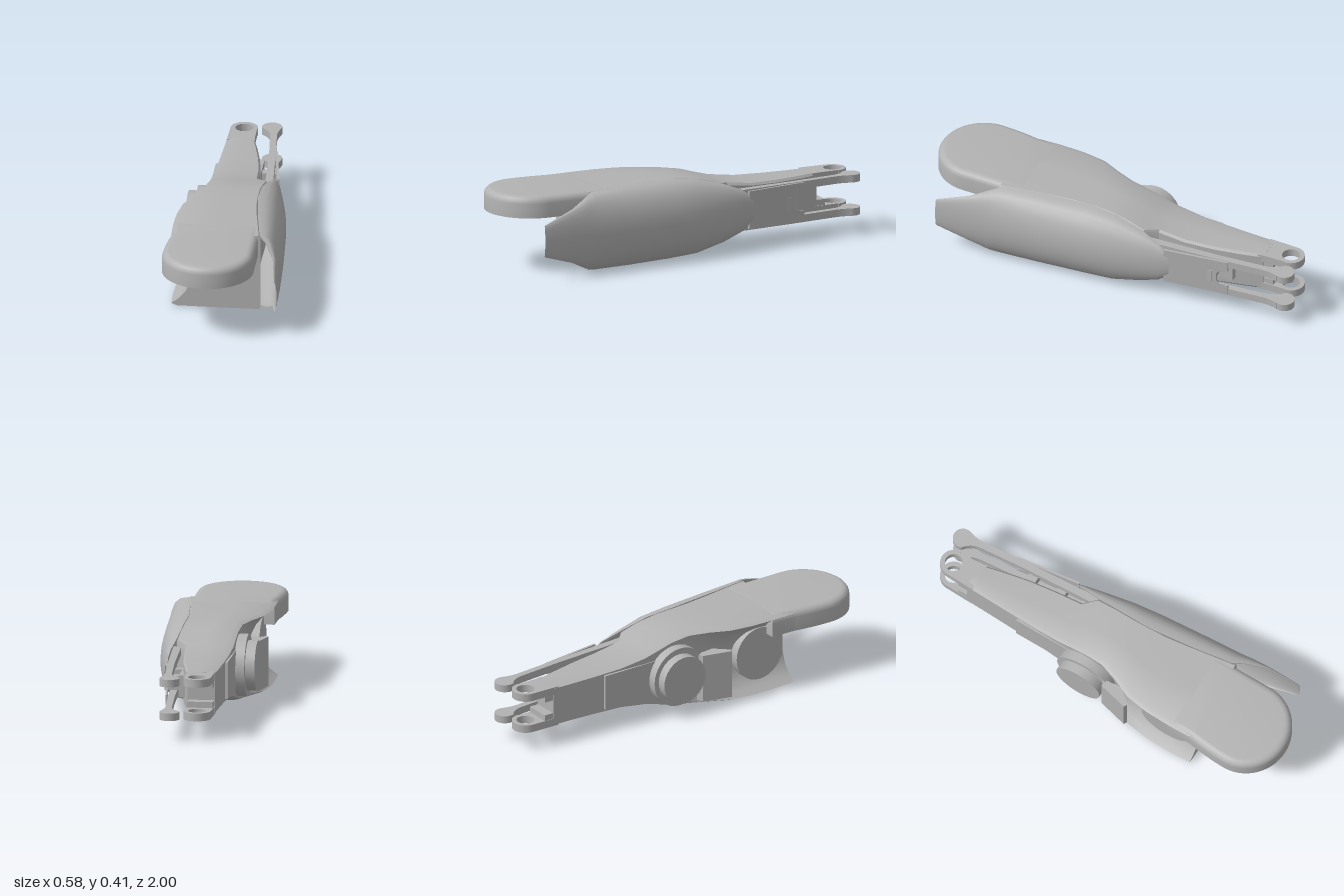
import * as THREE from 'three';
import { toCreasedNormals } from 'three/addons/utils/BufferGeometryUtils.js';

const grey = new THREE.MeshStandardMaterial({ color: 0xb2b2b2 });
grey.name = 'plain grey';

export function createModel() {
  const model = new THREE.Group();
  const add = (name, geometry, crease = 0.55) => {
    const mesh = new THREE.Mesh(toCreasedNormals(geometry, crease), grey);
    mesh.name = name;
    model.add(mesh);
    return mesh;
  };

  // Skin closed rings of [x, y, z] (clockwise seen from +z, z increasing)
  const loft = (rings, capCentres) => {
    const n = rings[0].length, pos = rings.flat(2), idx = [];
    for (let i = 0; i < rings.length - 1; i++)
      for (let j = 0; j < n; j++) {
        const a = i * n + j, b = i * n + (j + 1) % n;
        idx.push(a, a + n, b, b, a + n, b + n);
      }
    if (capCentres) {
      const c = pos.length / 3, last = (rings.length - 1) * n;
      pos.push(...capCentres[0], ...capCentres[1]);
      for (let j = 0; j < n; j++) {
        const k = (j + 1) % n;
        idx.push(c, j, k, c + 1, last + k, last + j);
      }
    }
    const g = new THREE.BufferGeometry();
    g.setAttribute('position', new THREE.Float32BufferAttribute(pos, 3));
    g.setIndex(idx);
    return g;
  };

  // Horizontal plate from a shape drawn in (x, -z)
  const plate = (shape, y0, y1) => {
    const g = new THREE.ExtrudeGeometry(shape, { depth: y1 - y0, bevelEnabled: false, curveSegments: 16 });
    return g.rotateX(-Math.PI / 2).translate(0, y0, 0);
  };
  const box = (name, x0, x1, y0, y1, z0, z1) => add(name,
    new THREE.BoxGeometry(x1 - x0, y1 - y0, z1 - z0).translate((x0 + x1) / 2, (y0 + y1) / 2, (z0 + z1) / 2));

  // Main body: z, left lip, left hollow, right, bottom, top
  const bodyStations = [
    [-0.80, -0.142, -0.142, -0.005, 0.1, 0.31],
    [-0.70, -0.145, -0.145, 0.02, 0.1, 0.31],
    [-0.55, -0.15, -0.15, 0.05, 0.098, 0.312],
    [-0.40, -0.155, -0.155, 0.068, 0.093, 0.317],
    [-0.26, -0.16, -0.16, 0.075, 0.072, 0.336],
    [-0.20, -0.16, -0.16, 0.13, 0.055, 0.352],
    [-0.10, -0.162, -0.162, 0.125, 0.025, 0.382],
    [0.00, -0.17, -0.165, 0.12, 0.008, 0.398],
    [0.10, -0.205, -0.165, 0.12, 0.004, 0.402],
    [0.20, -0.25, -0.165, 0.125, 0.002, 0.403],
    [0.32, -0.268, -0.165, 0.14, 0.001, 0.403],
    [0.45, -0.272, -0.168, 0.16, 0.003, 0.403],
    [0.57, -0.268, -0.17, 0.178, 0.006, 0.402],
  ];
  const bodyRing = ([z, lip, hollow, right, bottom, top]) => {
    const mid = (bottom + top) / 2, half = (top - bottom) / 2;
    const left = [-0.94, -0.8, -0.6, -0.3, 0, 0.3, 0.6, 0.8, 0.94].map(t =>
      [hollow + (lip - hollow) * Math.abs(t / 0.94) ** 3, mid + half * t, z]);
    return [...left,
      [lip + 0.025, top, z], [(lip + right) / 2, top + 0.002, z], [right - 0.01, top, z],
      [right, top - 0.012, z], [right, mid, z], [right, bottom + 0.012, z],
      [right - 0.01, bottom, z], [(lip + right) / 2, bottom - 0.001, z], [lip + 0.025, bottom, z]];
  };
  add('main body', loft(bodyStations.map(bodyRing), [[-0.07, 0.205, -0.8], [0, 0.205, 0.57]]));

  // Rounded paddle reaching forward from the top, flat underneath
  const paddleShape = new THREE.Shape();
  paddleShape.moveTo(0.165, -0.44);
  paddleShape.lineTo(-0.268, -0.44);
  paddleShape.lineTo(-0.27, -0.57);
  paddleShape.quadraticCurveTo(-0.288, -0.68, -0.29, -0.78);
  paddleShape.absellipse(-0.0625, -0.78, 0.2275, 0.22, Math.PI, 2 * Math.PI, false);
  paddleShape.lineTo(0.165, -0.44);
  const paddle = new THREE.ExtrudeGeometry(paddleShape, {
    depth: 0.105, bevelThickness: 0.035, bevelSize: 0.035, bevelOffset: -0.035, bevelSegments: 4, curveSegments: 20,
  }).rotateX(-Math.PI / 2).translate(0, 0.265, 0);
  const pp = paddle.attributes.position;
  for (let i = 0; i < pp.count; i++) pp.setY(i, Math.max(pp.getY(i), 0.297));
  add('front paddle', paddle);

  // Curved side shell: z, seam, outermost, bottom, top, thickness
  const shellStations = [
    [-0.36, 0.158, 0.17, 0.15, 0.27, 0],
    [-0.355, 0.157, 0.172, 0.145, 0.275, 0.008],
    [-0.30, 0.148, 0.186, 0.1, 0.314, 0.01],
    [-0.20, 0.13, 0.208, 0.055, 0.352, 0.012],
    [-0.05, 0.118, 0.235, 0.014, 0.392, 0.012],
    [0.10, 0.113, 0.252, 0.004, 0.404, 0.012],
    [0.35, 0.14, 0.27, 0.003, 0.405, 0.012],
    [0.55, 0.17, 0.281, 0.008, 0.402, 0.012],
    [0.60, 0.205, 0.283, 0.025, 0.388, 0.01],
    [0.70, 0.252, 0.286, 0.075, 0.348, 0.01],
    [0.86, 0.277, 0.29, 0.125, 0.292, 0.006],
    [0.87, 0.28, 0.29, 0.13, 0.288, 0],
  ];
  const shellRing = ([z, seam, out, bottom, top, thick]) => {
    const mid = (bottom + top) / 2, half = (top - bottom) / 2, steps = 14;
    const arc = inset => Array.from({ length: steps + 1 }, (_, i) => {
      const a = Math.PI * (0.5 - i / steps);
      return [seam + (out - seam - inset) * Math.max(Math.cos(a), 0) ** 0.9, mid + (half - inset) * Math.sin(a), z];
    });
    return [...arc(0), ...arc(thick).reverse()];
  };
  add('side shell', loft(shellStations.map(shellRing)));

  // Rear hinge prongs with eyes, and the rods beside them
  const prong = new THREE.Shape();
  prong.moveTo(0.0, 0.77);
  prong.lineTo(-0.005, 0.82);
  prong.lineTo(-0.005, 0.92);
  prong.absarc(-0.07, 0.92, 0.068, 0, Math.PI, false);
  prong.lineTo(-0.142, 0.77);
  prong.holes.push(new THREE.Path().absarc(-0.07, 0.92, 0.045, 0, 2 * Math.PI, true));
  const rod = new THREE.Shape();
  rod.moveTo(0.15, 0.19);
  rod.lineTo(0.122, 0.6);
  rod.lineTo(0.1, 0.85);
  rod.quadraticCurveTo(0.1, 0.9, 0.112, 0.93);
  rod.absarc(0.065, 0.95, 0.05, -0.4, Math.PI + 0.4, false);
  rod.quadraticCurveTo(0.06, 0.9, 0.066, 0.85);
  rod.lineTo(0.088, 0.6);
  rod.lineTo(0.11, 0.19);
  for (const [side, y] of [['lower', 0.1], ['upper', 0.27]]) {
    add(side + ' hinge prong', plate(prong, y, y + 0.04));
    add(side + ' rod', plate(rod, y, y + 0.038));
    const stepY = side === 'lower' ? 0.135 : 0.24;
    box(side + ' hinge step', -0.138, -0.01, stepY, stepY + 0.035, -0.85, -0.79);
  }

  // Notched guard plate outside the rods, with its cross bars
  const guard = new THREE.Shape([[0, 0.112], [0.335, 0.112], [0.335, 0.305], [0, 0.305],
    [0, 0.25], [0.05, 0.24], [0.06, 0.225], [0.06, 0.185], [0.05, 0.17], [0, 0.16]]
    .map(p => new THREE.Vector2(...p)));
  const guardMesh = add('guard plate', new THREE.ExtrudeGeometry(guard, { depth: 0.012, bevelEnabled: false }));
  guardMesh.rotation.y = -Math.atan2(0.33, 0.045);
  guardMesh.position.set(0.125, 0, -0.665);
  for (const z of [-0.56, -0.4]) box('cross bar', 0.03, 0.14, 0.17, 0.24, z - 0.025, z + 0.025);
  box('rear bracket', 0.015, 0.06, 0.15, 0.26, -0.66, -0.5);

  // Round hubs on the left side
  const hub = (name, x0, x1, y, z, r) => add(name,
    new THREE.CylinderGeometry(r, r, x1 - x0, 32).rotateZ(Math.PI / 2).translate((x0 + x1) / 2, y, z));
  hub('rear hub flange', -0.21, -0.14, 0.2, -0.08, 0.155);
  hub('rear hub', -0.258, -0.2, 0.2, -0.085, 0.125);
  hub('front hub', -0.215, -0.15, 0.2, 0.4, 0.14);

  // Slanted fairing between the hubs
  const fairing = new THREE.Shape([[-0.2, -0.03], [-0.235, -0.04], [-0.272, -0.19], [-0.255, -0.2], [-0.19, -0.13]]
    .map(p => new THREE.Vector2(...p)));
  add('hub fairing', plate(fairing, 0.04, 0.29));

  // Raised panel along the rear left wall
  box('rear wall panel', -0.165, -0.14, 0.115, 0.3, -0.5, -0.19);

  return model;
}
